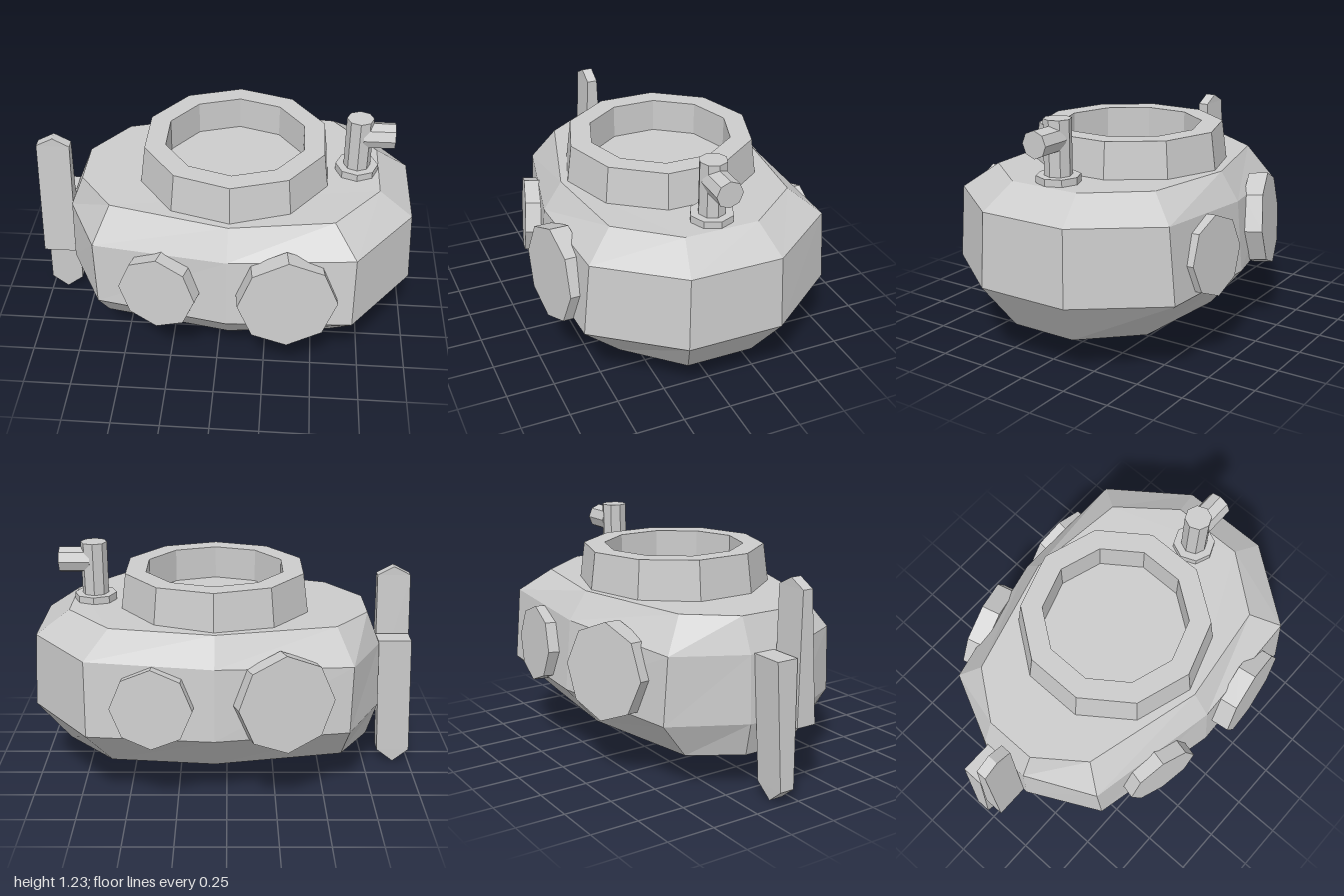
import * as THREE from 'three';

const material = new THREE.MeshStandardMaterial({ color: 0xcccccc, flatShading: true });
const shellMaterial = new THREE.MeshStandardMaterial({ color: 0xcccccc, flatShading: true, side: THREE.DoubleSide });
const CZ = -0.015; // centre line of the hull

function add(parent, geometry, name, mat = material) {
  const mesh = new THREE.Mesh(geometry, mat);
  mesh.name = name;
  parent.add(mesh);
  return mesh;
}

// Flat-faced solid through closed rings, listed bottom to top, clockwise from above.
function loft(rings, closedBottom) {
  const out = [];
  const tri = (a, b, c) => out.push(...a, ...b, ...c);
  const n = rings[0].length;
  for (let r = 0; r < rings.length - 1; r++) {
    const lo = rings[r], up = rings[r + 1];
    for (let i = 0; i < n; i++) {
      const j = (i + 1) % n;
      tri(lo[j], lo[i], up[i]);
      tri(lo[j], up[i], up[j]);
    }
  }
  const first = rings[0], last = rings[rings.length - 1];
  for (let i = 1; i < n - 1; i++) {
    if (closedBottom) tri(first[0], first[i], first[i + 1]);
    tri(last[0], last[i + 1], last[i]);
  }
  const g = new THREE.BufferGeometry();
  g.setAttribute('position', new THREE.Float32BufferAttribute(out, 3));
  g.computeVertexNormals();
  return g;
}

// Ten-sided hull ring from five stations [x, half width], with y sloping along x.
function hullRing(yStern, yBow, stations) {
  const yAt = x => THREE.MathUtils.lerp(yStern, yBow, THREE.MathUtils.clamp((x + 0.73) / 1.33, 0, 1));
  const side = s => stations.map(([x, w]) => [x, yAt(x), CZ + s * w]);
  return [...side(1), ...side(-1).reverse()];
}

const rect = (y, x0, x1, z0, z1) => [[x1, y, z1], [x0, y, z1], [x0, y, z0], [x1, y, z0]];

export function createModel() {
  const model = new THREE.Group();
  model.name = 'submarine';

  // Faceted hull shell, open underneath
  add(model, loft([
    hullRing(0.19, 0.19, [[0.84, 0.175], [0.59, 0.44], [0.06, 0.495], [-0.595, 0.37], [-0.755, 0.12]]),
    hullRing(0.37, 0.42, [[1.0, 0.245], [0.69, 0.655], [0.06, 0.67], [-0.62, 0.51], [-0.81, 0.135]]),
    hullRing(0.715, 0.8, [[0.98, 0.235], [0.69, 0.62], [0.06, 0.637], [-0.63, 0.49], [-0.8, 0.135]]),
    hullRing(0.89, 0.92, [[0.81, 0.19], [0.58, 0.475], [0.06, 0.54], [-0.55, 0.375], [-0.73, 0.135]]),
  ], false), 'hull', shellMaterial);

  // Turret ring with a sunken floor
  const profile = [[0.509, 0.88], [0.48, 1.1], [0.37, 1.1], [0.37, 0.925], [0, 0.925]]
    .map(([r, y]) => new THREE.Vector2(r, y));
  add(model, new THREE.LatheGeometry(profile, 10), 'turret').position.set(0.064, 0, CZ);

  // Periscope: foot, pole and sideways head
  const periscope = new THREE.Group();
  periscope.name = 'periscope';
  periscope.position.set(0.694, 0, CZ);
  model.add(periscope);
  add(periscope, new THREE.CylinderGeometry(0.11, 0.11, 0.055, 8), 'periscopeFoot').position.y = 0.928;
  add(periscope, new THREE.CylinderGeometry(0.069, 0.069, 0.3, 8), 'periscopePole').position.y = 1.08;
  const head = add(periscope, new THREE.CylinderGeometry(0.068, 0.068, 0.16, 8), 'periscopeHead');
  head.rotation.z = -Math.PI / 2;
  head.position.set(0.1, 1.135, 0);

  // Portholes: outer face centre, outward normal, radius
  const portholes = [
    [[-0.292, 0.56, 0.637], [-0.24, 0.07, 0.97], 0.202],
    [[0.365, 0.587, 0.705], [0.12, 0.07, 0.99], 0.248],
    [[-0.295, 0.587, -0.665], [-0.285, 0.09, -0.96], 0.248],
    [[0.367, 0.58, -0.71], [0.08, 0.07, -0.99], 0.203],
  ];
  for (const [centre, normal, radius] of portholes) {
    const mount = new THREE.Group();
    mount.name = 'porthole';
    mount.position.set(...centre);
    mount.lookAt(mount.position.clone().add(new THREE.Vector3(...normal)));
    model.add(mount);
    const disc = add(mount, new THREE.CylinderGeometry(radius, radius, 0.1, 8), 'portholeDisc');
    disc.rotation.x = Math.PI / 2;
    disc.position.z = -0.05;
  }

  // Propeller: two overlapping blades with ridged tips
  const propeller = new THREE.Group();
  propeller.name = 'propeller';
  model.add(propeller);
  add(propeller, loft([
    rect(0.375, -0.988, -0.81, -0.012, 0.097),
    rect(1.04, -0.972, -0.798, 0.012, 0.068),
    rect(1.085, -0.885, -0.883, 0.012, 0.068),
  ], true), 'upperBlade');
  add(propeller, loft([
    rect(0.005, -0.916, -0.914, -0.11, -0.035),
    rect(0.075, -1.0, -0.825, -0.113, -0.033),
    rect(0.72, -0.975, -0.8, -0.128, -0.012),
  ], true), 'lowerBlade');

  return model;
}
